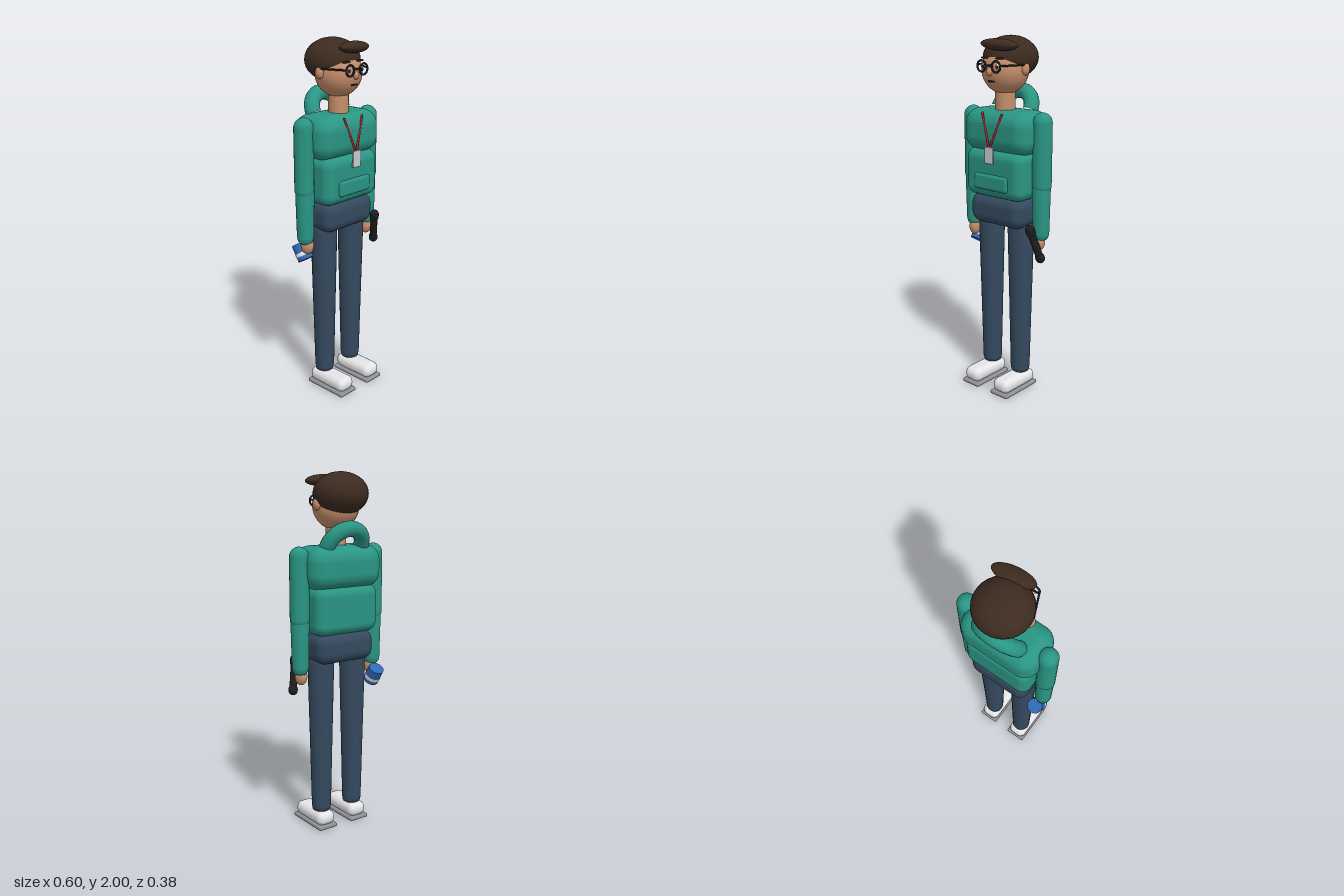
import * as THREE from 'three';
import { RoundedBoxGeometry } from 'three/addons/geometries/RoundedBoxGeometry.js';

const mat = (name, color) => {
  const m = new THREE.MeshStandardMaterial({ color });
  m.name = name;
  return m;
};
const V = (x, y, z) => new THREE.Vector3(x, y, z);

export function createModel() {
  const skin = mat('skin', 0xc68e6b), hair = mat('hair', 0x3d2b20), teal = mat('teal cloth', 0x2a9583);
  const denim = mat('denim', 0x34495e), black = mat('black', 0x1d1d1f), white = mat('white', 0xe8e8ea);
  const grey = mat('sole grey', 0x8f9199), red = mat('red ribbon', 0xb3242c), blue = mat('can blue', 0x2f6ab5);
  const badgeGrey = mat('badge grey', 0xc9cccf);

  const model = new THREE.Group();
  model.name = 'standingPerson';

  const add = (name, geo, material, x = 0, y = 0, z = 0, parent = model) => {
    const m = new THREE.Mesh(geo, material);
    m.name = name;
    m.position.set(x, y, z);
    parent.add(m);
    return m;
  };
  const box = (name, w, h, d, r, material, x, y, z, seg = 4) =>
    add(name, new RoundedBoxGeometry(w, h, d, seg, r), material, x, y, z);
  const ball = (name, rx, ry, rz, material, x, y, z) => {
    const m = add(name, new THREE.SphereGeometry(1, 28, 20), material, x, y, z);
    m.scale.set(rx, ry, rz);
    return m;
  };
  // Straight rod between two points
  const rod = (name, a, b, r, material) => {
    const m = add(name, new THREE.CylinderGeometry(r, r, a.distanceTo(b), 10), material);
    m.position.copy(a).add(b).multiplyScalar(0.5);
    m.quaternion.setFromUnitVectors(V(0, 1, 0), b.clone().sub(a).normalize());
    return m;
  };
  const lathe = (name, pts, material, x, z) =>
    add(name, new THREE.LatheGeometry(pts.map(p => new THREE.Vector2(...p)), 24), material, x, 0, z);

  // Torso
  box('chest', 0.46, 0.235, 0.27, 0.085, teal, 0, 1.495, -0.015);
  box('belly', 0.405, 0.265, 0.255, 0.055, teal, 0, 1.265, -0.008);
  box('frontPocket', 0.24, 0.09, 0.04, 0.018, teal, 0, 1.223, 0.112);
  box('hips', 0.37, 0.17, 0.235, 0.06, denim, 0, 1.057, -0.01);

  // Hood collar arching behind the neck
  const hood = add('hood', new THREE.TorusGeometry(0.112, 0.043, 14, 28, Math.PI), teal, 0, 1.605, -0.075);
  hood.rotation.x = -0.52;

  // Head
  add('neck', new THREE.CylinderGeometry(0.055, 0.055, 0.16, 24), skin, 0, 1.66, 0);
  ball('head', 0.13, 0.13, 0.125, skin, 0, 1.822, 0);
  ball('hairCap', 0.15, 0.116, 0.15, hair, 0, 1.884, -0.044);
  const fringe = ball('fringe', 0.116, 0.031, 0.046, hair, 0.032, 1.955, 0.083);
  fringe.rotation.set(0, 0.12, -0.04);
  ball('nose', 0.016, 0.022, 0.022, skin, 0, 1.817, 0.122);
  box('mouth', 0.044, 0.009, 0.009, 0.003, black, 0, 1.766, 0.112, 2);

  // Paired parts of face, arms and legs
  for (const s of [-1, 1]) {
    const side = s > 0 ? 'left' : 'right';
    ball(side + 'Ear', 0.02, 0.033, 0.026, skin, s * 0.131, 1.83, -0.01);
    ball(side + 'Eye', 0.017, 0.017, 0.01, white, s * 0.05, 1.843, 0.114);
    ball(side + 'Pupil', 0.009, 0.009, 0.005, black, s * 0.05, 1.843, 0.123);
    box(side + 'Brow', 0.05, 0.009, 0.012, 0.003, hair, s * 0.05, 1.886, 0.104, 2);
    add(side + 'GlassesRim', new THREE.TorusGeometry(0.029, 0.0055, 8, 28), black, s * 0.051, 1.845, 0.132);
    rod(side + 'GlassesTemple', V(s * 0.08, 1.85, 0.132), V(s * 0.138, 1.852, 0.0), 0.005, black);

    add(side + 'UpperArm', new THREE.CapsuleGeometry(0.053, 0.335, 8, 24), teal, s * 0.248, 1.392, -0.013);
    lathe(side + 'Forearm', [[0, 0.92], [0.03, 0.923], [0.041, 0.935], [0.046, 0.96], [0.051, 1.2], [0.04, 1.24], [0, 1.25]],
      teal, s * 0.246, -0.012);
    ball(side + 'Hand', 0.034, 0.048, 0.036, skin, s * 0.238, 0.907, -0.006);

    lathe(side + 'Leg', [[0, 0.09], [0.035, 0.092], [0.05, 0.102], [0.055, 0.125], [0.064, 0.53], [0.074, 0.96], [0.06, 1.02], [0, 1.04]],
      denim, s * 0.108, -0.008);
    box(side + 'Shoe', 0.114, 0.082, 0.265, 0.038, white, s * 0.11, 0.057, 0.052);
    box(side + 'Sole', 0.124, 0.022, 0.275, 0.009, grey, s * 0.11, 0.011, 0.052, 2);

    rod(side + 'LanyardRibbon', V(s * 0.07, 1.6, 0.108), V(s * 0.003, 1.415, 0.132), 0.006, red);
  }
  rod('glassesBridge', V(-0.024, 1.85, 0.133), V(0.024, 1.85, 0.133), 0.005, black);
  box('badge', 0.06, 0.09, 0.009, 0.002, badgeGrey, 0, 1.375, 0.134, 2);

  // Tilted drink can in the right hand
  const can = new THREE.Group();
  can.name = 'drinkCan';
  can.position.set(-0.235, 0.86, -0.048);
  can.rotation.x = -0.59;
  model.add(can);
  add('canBody', new THREE.CylinderGeometry(0.044, 0.044, 0.095, 28), blue, 0, 0, 0, can);
  add('canBand', new THREE.CylinderGeometry(0.0455, 0.0455, 0.02, 28, 1, true), white, 0, -0.014, 0, can);

  // Torch in the left hand, thicker at both ends
  const top = V(0.228, 1.005, 0.07), low = V(0.276, 0.812, 0.02);
  const along = t => top.clone().lerp(low, t);
  rod('torchBody', along(0.05), along(0.95), 0.021, black);
  for (const [name, a, b] of [['torchCap', 0, 0.24], ['torchHead', 0.82, 1]]) {
    const end = rod(name, along(a), along(b), 0.027, black);
    end.geometry = new THREE.CapsuleGeometry(0.026, along(a).distanceTo(along(b)) - 0.03, 6, 16);
  }
  return model;
}
